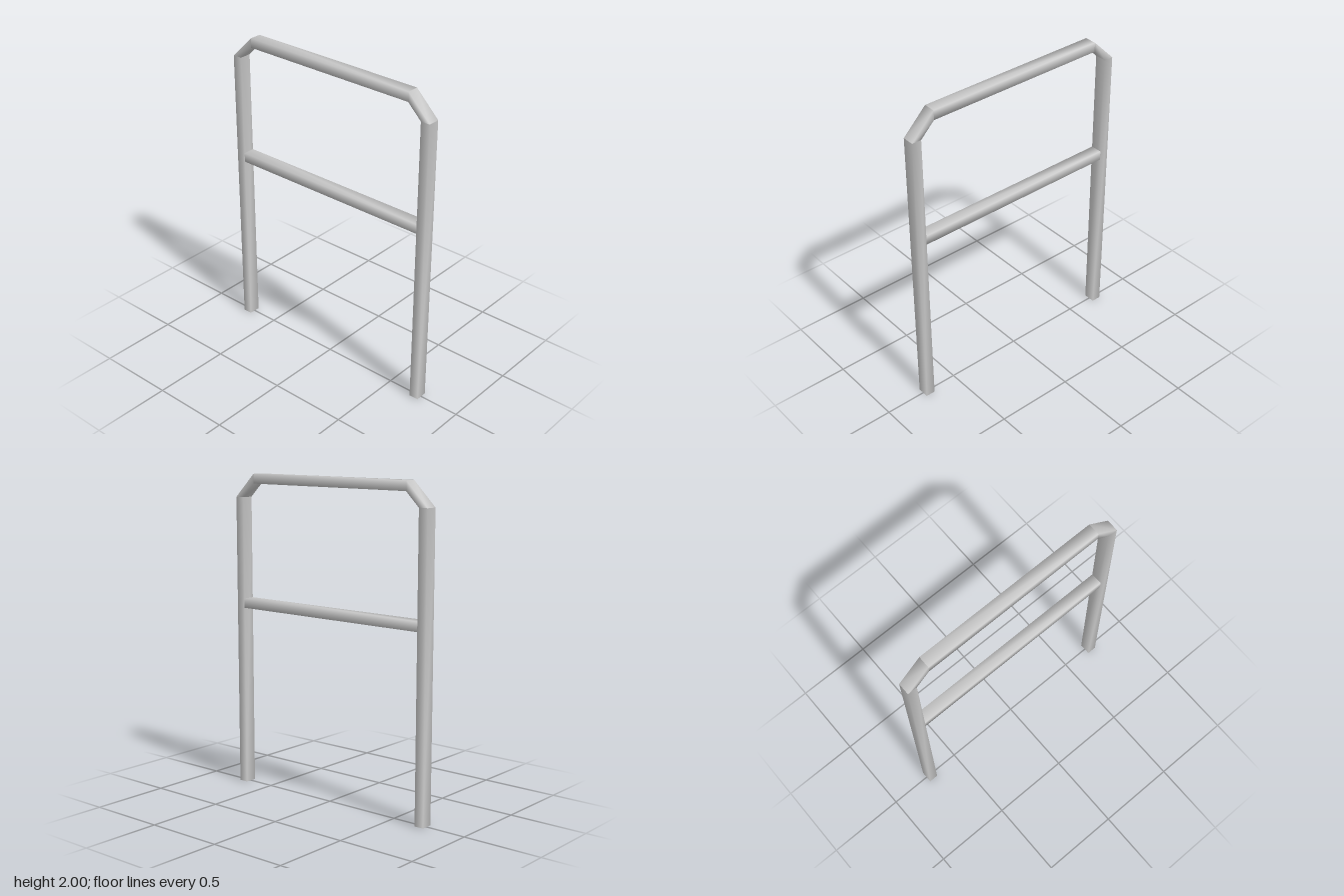
import * as THREE from 'three';

const H = 0.03;   // half thickness in the plane of the frame
const D = 0.0375; // half depth along z
const CORNERS = [[H, D], [-H, D], [-H, -D], [H, -D]];

// Open four-sided bar between two stations {x, y, out:[x, y]}; each end ring
// lies in the plane of its own "out" direction and z, so joints can be oblique.
function bar(name, from, to, material) {
  const positions = [];
  const index = [];
  for (const s of [from, to]) {
    for (const [o, z] of CORNERS) positions.push(s.x + s.out[0] * o, s.y + s.out[1] * o, z);
  }
  for (let i = 0; i < 4; i++) {
    const j = (i + 1) % 4;
    index.push(i, i + 4, j, j, i + 4, j + 4);
  }
  const geometry = new THREE.BufferGeometry();
  geometry.setAttribute('position', new THREE.Float32BufferAttribute(positions, 3));
  geometry.setIndex(index);
  geometry.computeVertexNormals(); // smooth around the bar, sharp at joints
  const mesh = new THREE.Mesh(geometry, material);
  mesh.name = name;
  return mesh;
}

export function createModel() {
  const group = new THREE.Group();
  group.name = 'railing';
  const material = new THREE.MeshStandardMaterial({ color: 0xcccccc, side: THREE.DoubleSide });

  const legX = 0.708;
  const station = (x, y, ox, oy) => ({ x, y, out: [ox, oy] });

  // Outer frame: up the left leg, over the top, down the right leg
  const path = [
    station(legX, 0, 1, 0),
    station(legX, 1.852, 1, 0),
    station(0.588, 1.97, 0, 1),
    station(-0.588, 1.97, 0, 1),
    station(-legX, 1.852, -1, 0),
    station(-legX, 0, -1, 0),
  ];
  const names = ['leftLeg', 'leftCorner', 'topRail', 'rightCorner', 'rightLeg'];
  names.forEach((name, i) => group.add(bar(name, path[i], path[i + 1], material)));

  // Middle rail between the legs' inner faces
  const railX = legX - H;
  group.add(bar('middleRail', station(railX, 1.181, 0, 1), station(-railX, 1.181, 0, 1), material));

  return group;
}
